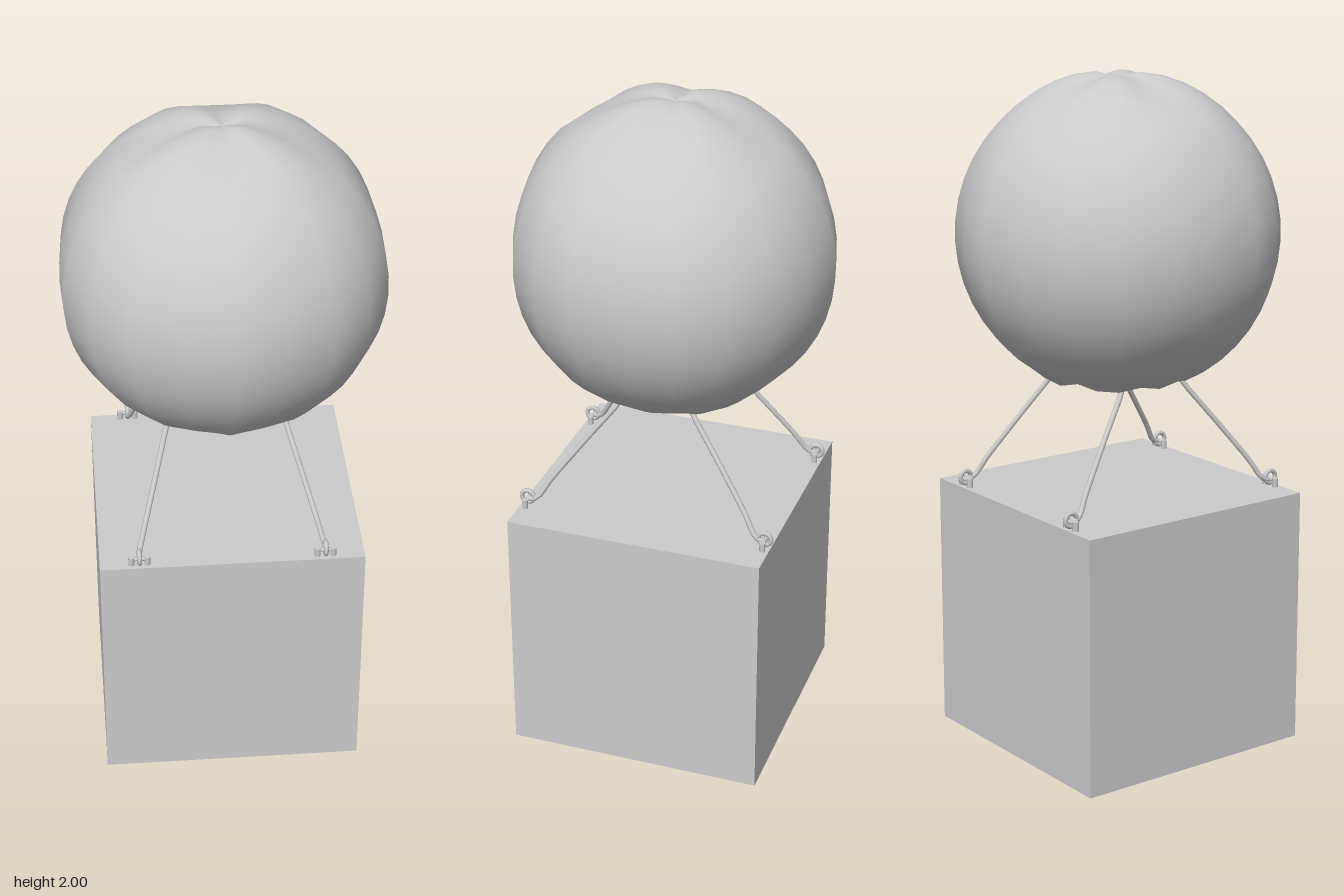
import * as THREE from 'three';

const grey = (extra = {}) => new THREE.MeshStandardMaterial({ color: 0xcccccc, ...extra });

function add(parent, name, geometry, material = grey()) {
  const mesh = new THREE.Mesh(geometry, material);
  mesh.name = name;
  parent.add(mesh);
  return mesh;
}

const SIDES = 20;
// Uneven radius of the envelope over one quadrant, from the z axis to the x axis
const GIRTH = [0.475, 0.462, 0.474, 0.476, 0.477, 0.461];
const RIM_LIFT = [0, 0.015, 0.002, 0, 0.012, 0];

// Mirrors a column number into the first quadrant
const quadrant = (j) => {
  const k = j % 10;
  return k > 5 ? 10 - k : k;
};

// Skin made of rings; point(row, column, angle) gives each [x, y, z]
function loft(rows, point) {
  const positions = [];
  const index = [];
  for (let i = 0; i < rows; i++) {
    for (let j = 0; j < SIDES; j++) {
      positions.push(...point(i, j, (j / SIDES) * Math.PI * 2));
    }
  }
  for (let i = 0; i < rows - 1; i++) {
    for (let j = 0; j < SIDES; j++) {
      const a = i * SIDES + j;
      const b = i * SIDES + ((j + 1) % SIDES);
      index.push(a, b, b + SIDES, a, b + SIDES, a + SIDES);
    }
  }
  const geometry = new THREE.BufferGeometry();
  geometry.setAttribute('position', new THREE.Float32BufferAttribute(positions, 3));
  geometry.setIndex(index);
  geometry.computeVertexNormals();
  return geometry;
}

// Envelope point: t = 0 at the mouth, 1 at the crown
function envelopePoint(t, j, angle) {
  const k = quadrant(j);
  const polar = THREE.MathUtils.lerp(2.69, 0.004, t);
  const s = Math.sin(polar);
  const r = GIRTH[k] * s;
  let y = 1.532 + 0.472 * Math.cos(polar);
  // Four creases meet in a dimple at the crown
  if (polar < 0.8) {
    const crease = Math.pow(Math.abs(Math.cos(2 * angle)), 3);
    y -= 0.024 * crease * Math.sin((polar / 0.8) * Math.PI);
    y -= 0.018 * Math.exp(-Math.pow(r / 0.045, 2));
    y += 0.006 * Math.sin((polar / 0.8) * Math.PI);
  }
  // Scalloped edge at the mouth
  y += RIM_LIFT[k] * Math.max(0, 1 - t * 9);
  return [r * Math.sin(angle), y, r * Math.cos(angle)];
}

export function createModel() {
  const model = new THREE.Group();
  model.name = 'balloonWithCrate';

  // Crate
  add(model, 'crate', new THREE.BoxGeometry(0.77, 0.77, 0.77)).position.y = 0.385;

  // Balloon envelope
  const balloon = new THREE.Group();
  balloon.name = 'balloon';
  model.add(balloon);
  const rows = 21;
  add(balloon, 'envelope', loft(rows, (i, j, a) => envelopePoint(i / (rows - 1), j, a)));

  // Recessed mouth: a closing disc and the wall down to the rim
  add(balloon, 'mouth', loft(3, (i, j, a) => {
    if (i === 2) return envelopePoint(0, j, a);
    const r = i === 0 ? 0.001 : 0.19;
    return [r * Math.sin(a), 1.23, r * Math.cos(a)];
  }), grey({ flatShading: true }));

  // Four ropes with their fittings
  for (const sx of [1, -1]) {
    for (const sz of [1, -1]) {
      const rigging = new THREE.Group();
      rigging.name = (sz > 0 ? 'front' : 'back') + (sx > 0 ? 'Left' : 'Right') + 'Rigging';
      model.add(rigging);
      const at = (x, y, z) => new THREE.Vector3(sx * x, y, sz * z);

      const path = new THREE.CatmullRomCurve3([
        at(0.272, 0.79, 0.362), at(0.268, 0.797, 0.338), at(0.25, 0.855, 0.3),
        at(0.205, 0.99, 0.2), at(0.165, 1.11, 0.11), at(0.158, 1.135, 0.1),
      ]);
      add(rigging, 'rope', new THREE.TubeGeometry(path, 24, 0.008, 8));

      // Ring and cross pin on the crate
      const ring = add(rigging, 'crateRing', new THREE.TorusGeometry(0.019, 0.007, 8, 16));
      ring.position.copy(at(0.27, 0.797, 0.366));
      ring.rotation.y = Math.PI / 2;
      const pin = add(rigging, 'cratePin', new THREE.CylinderGeometry(0.006, 0.006, 0.06, 8));
      pin.position.copy(at(0.27, 0.79, 0.366));
      pin.rotation.z = Math.PI / 2;
      for (const side of [-1, 1]) {
        const lug = add(rigging, 'crateLug', new THREE.CylinderGeometry(0.009, 0.009, 0.03, 8));
        lug.position.copy(at(0.27 + side * 0.023, 0.782, 0.366));
      }

      // Small ring at the mouth of the balloon
      const eye = add(rigging, 'mouthRing', new THREE.TorusGeometry(0.013, 0.005, 8, 14));
      eye.position.copy(at(0.163, 1.122, 0.108));
      eye.rotation.y = Math.atan2(sx * 0.163, sz * 0.108) + Math.PI / 2;
    }
  }
  return model;
}
